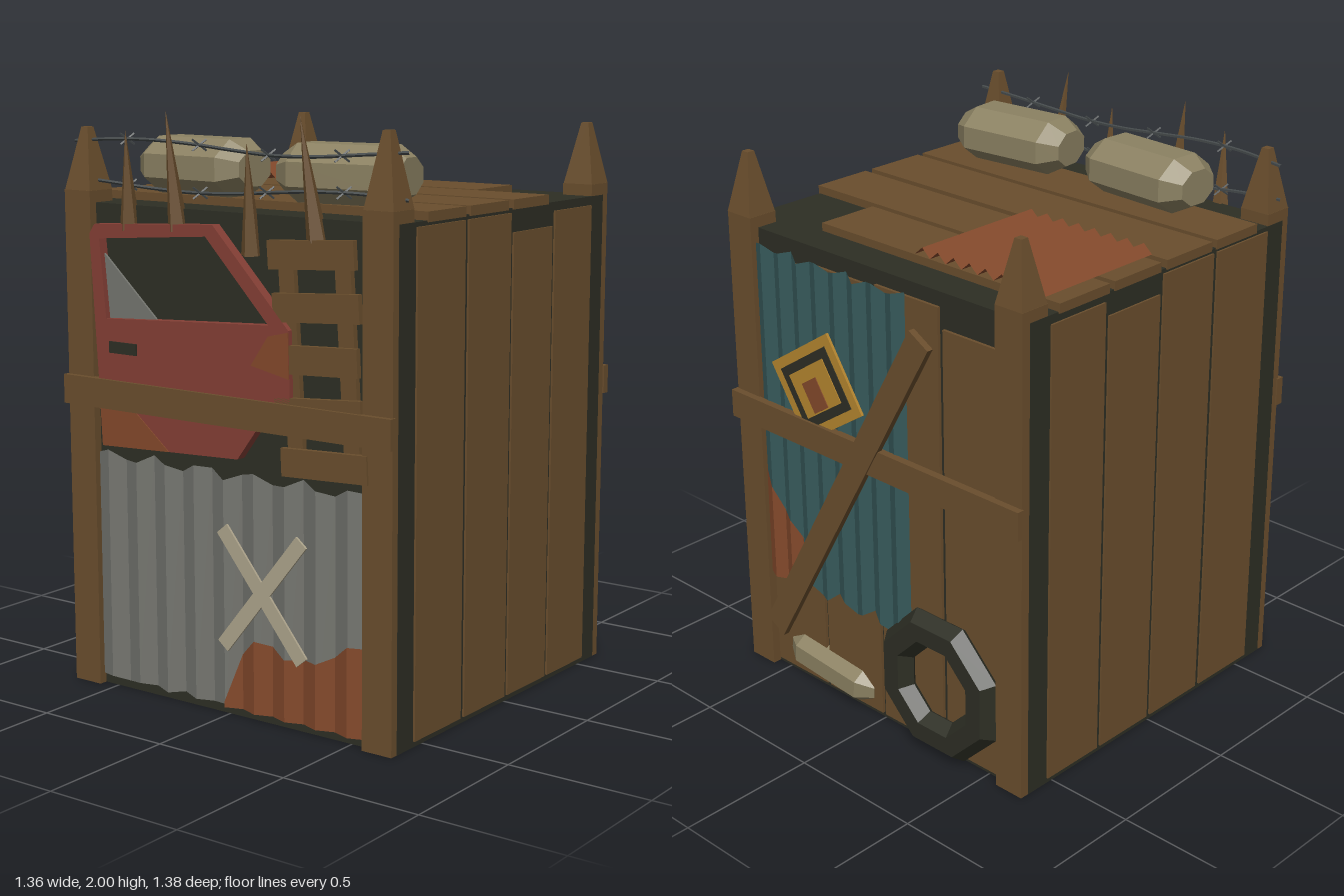
import * as THREE from 'three';

const mat = (name, color, side = THREE.FrontSide) =>
  Object.assign(new THREE.MeshStandardMaterial({ color, side }), { name });

export function createModel() {
  const D = THREE.DoubleSide;
  const wood = mat('wood', 0x6a4e2d), dark = mat('darkCore', 0x2d2e24), red = mat('doorRed', 0x843f35),
    grey = mat('sheetGrey', 0x74756f, D), rust = mat('rust', 0x84492b, D), tan = mat('sandbagTan', 0x8b8162),
    cream = mat('paintCream', 0xada48b), teal = mat('sheetTeal', 0x36595a, D),
    yellow = mat('signYellow', 0xb5862f), wire = mat('wire', 0x44494a);
  const model = new THREE.Group();
  const group = (name, parent = model) => {
    const g = new THREE.Group();
    g.name = name;
    parent.add(g);
    return g;
  };

  // Faceted mesh
  const add = (parent, name, geo, material, x = 0, y = 0, z = 0, rz = 0) => {
    const g = geo.index ? geo.toNonIndexed() : geo;
    g.computeVertexNormals();
    const m = new THREE.Mesh(g, material);
    m.name = name;
    m.position.set(x, y, z);
    m.rotation.z = rz;
    parent.add(m);
    return m;
  };
  const box = (p, name, m, [x, y, z], [w, h, d], rz = 0) =>
    add(p, name, new THREE.BoxGeometry(w, h, d), m, x, y, z, rz);
  // Box given by its limits
  const slab = (p, name, m, x0, x1, y0, y1, z0, z1) =>
    box(p, name, m, [(x0 + x1) / 2, (y0 + y1) / 2, (z0 + z1) / 2], [x1 - x0, y1 - y0, z1 - z0]);
  const shape = pts => new THREE.Shape(pts.map(p => new THREE.Vector2(...p)));
  const plate = (p, name, m, pts, z, depth, hole) => {
    const s = shape(pts);
    if (hole) s.holes.push(shape(hole));
    return add(p, name, new THREE.ExtrudeGeometry(s, { depth, bevelEnabled: false }), m, 0, 0, z);
  };

  // Zigzag sheet: column i lies at x0 + i * step, from bottom(i) to top(i)
  const sheet = (p, name, m, x0, step, i0, i1, bottom, top, amp, z) => {
    const pos = [], idx = [];
    for (let i = i0; i <= i1; i++) {
      const x = x0 + i * step, w = i % 2 ? amp : 0;
      pos.push(x, bottom(i), w, x, top(i), w);
      const k = (i - i0) * 2;
      if (i < i1) idx.push(k, k + 2, k + 3, k, k + 3, k + 1);
    }
    const g = new THREE.BufferGeometry();
    g.setAttribute('position', new THREE.Float32BufferAttribute(pos, 3));
    g.setIndex(idx);
    return add(p, name, g, m, 0, 0, z);
  };

  // Sandbag: octagonal sections, narrowed at both ends
  const sandbag = (p, x, y, z, ry, rz, sx = 1, sy = 1, sz = 1) => {
    const g = new THREE.CylinderGeometry(1, 1, 1, 8, 3, false, Math.PI / 8), v = g.attributes.position;
    for (let i = 0; i < v.count; i++) {
      const t = Math.round((v.getY(i) + 0.5) * 3), r = Math.hypot(v.getX(i), v.getZ(i));
      const k = r < 0.1 ? 0 : (t % 3 === 0 ? 0.62 : 1);
      v.setXYZ(i, v.getX(i) / 0.924 * 0.095 * k, [-0.225, -0.16, 0.16, 0.225][t], v.getZ(i) / 0.924 * 0.125 * k);
    }
    g.rotateZ(Math.PI / 2).scale(sx, sy, sz);
    add(p, 'sandbag', g, tan, x, y, z).rotation.set(0, ry, rz);
  };

  // Hollow dark crate, open below
  const core = group('crateCore');
  for (const s of [-1, 1]) box(core, 'sideWall', dark, [s * 0.665, 0.84, 0.0125], [0.02, 1.68, 1.255]);
  slab(core, 'frontWall', dark, -0.66, 0.66, 0, 1.68, 0.62, 0.64);
  slab(core, 'backWall', dark, -0.66, 0.66, 0, 1.68, -0.615, -0.595);
  slab(core, 'roof', dark, -0.66, 0.66, 1.66, 1.68, -0.6, 0.63);

  // Corner posts with cut tips
  const posts = group('cornerPosts');
  for (const [x, z, top] of [[-0.617, 0.613, 1.93], [0.617, 0.613, 1.96], [-0.617, -0.594, 1.93], [0.617, -0.594, 1.93]]) {
    slab(posts, 'post', wood, x - 0.057, x + 0.057, 0, 1.72, z - 0.054, z + 0.057);
    const tip = new THREE.CylinderGeometry(0.02, 0.079, top - 1.72, 4, 1, false, Math.PI / 4);
    add(posts, 'postTip', tip, wood, x, (top + 1.72) / 2, z);
  }

  // Side planks on both sides
  const sides = group('sidePlanks');
  for (const s of [-1, 1])
    for (const [z0, z1, top] of [[0.28, 0.55, 1.665], [0.005, 0.26, 1.665], [-0.26, -0.012, 1.6], [-0.525, -0.277, 1.65]])
      box(sides, 'sidePlank', wood, [s * 0.677, (top + 0.02) / 2, (z0 + z1) / 2], [0.01, top - 0.02, z1 - z0]);

  // Roof planks, rusty roof sheet and sandbags
  const roof = group('roofCover');
  for (const [x0, x1, z0, z1] of [[-0.68, 0.68, 0.275, 0.49], [-0.68, 0.68, 0.02, 0.25],
    [-0.68, 0.68, -0.235, -0.01], [-0.68, 0.38, -0.49, -0.26]])
    slab(roof, 'roofPlank', wood, x0, x1, 1.675, 1.708, z0, z1);
  const roofSheet = sheet(roof, 'roofSheet', rust, -0.64, 0.0344, 0, 16, () => 0.01, () => 0.52, 0.03, 0);
  roofSheet.rotation.x = -Math.PI / 2;
  roofSheet.position.y = 1.725;
  sandbag(roof, -0.255, 1.805, 0.435, -0.06, 0);
  sandbag(roof, 0.34, 1.805, 0.435, 0.1, 0);

  // Lower front sheet, its rust and the painted cross
  const front = group('frontWallCover');
  const step = 1.13 / 18;
  sheet(front, 'greySheet', grey, -0.565, step, 0, 18, i => 0.035 + 0.006 * Math.sin(i * 2.3),
    i => 0.825 + 0.02 * Math.sin(i * 1.9), 0.022, 0.646);
  const rustTop = [0.05, 0.22, 0.28, 0.27, 0.24, 0.25, 0.25, 0.28, 0.33, 0.33];
  sheet(front, 'sheetRust', rust, -0.565, step, 9, 18, () => 0.03, i => rustTop[i - 9], 0.022, 0.65);
  for (const s of [-1, 1]) box(front, 'crossStroke', cream, [0.165, 0.447, 0.676], [0.515, 0.052, 0.008], s * 0.888);

  // Salvaged car door
  const door = group('carDoor', front);
  plate(door, 'doorPanel', red, [[-0.515, 0.86], [0.07, 0.885], [0.145, 0.985], [0.285, 1.08], [0.28, 1.325],
    [-0.025, 1.64], [-0.535, 1.612], [-0.558, 1.58]], 0.642, 0.036,
  [[-0.49, 1.297], [0.2, 1.335], [-0.055, 1.6], [-0.515, 1.565]]);
  plate(door, 'brokenGlass', grey, [[-0.49, 1.29], [-0.28, 1.305], [-0.512, 1.515]], 0.65, 0.008);
  plate(door, 'lowerRust', rust, [[-0.515, 0.86], [-0.22, 0.873], [-0.37, 0.995], [-0.523, 1.02]], 0.677, 0.004);
  plate(door, 'edgeRust', rust, [[0.13, 1.2], [0.282, 1.17], [0.28, 1.32], [0.2, 1.3]], 0.677, 0.004);
  slab(door, 'doorHandle', dark, -0.475, -0.355, 1.183, 1.222, 0.675, 0.684);

  // Slatted pallet
  const pallet = group('pallet', front);
  pallet.position.set(0.385, 1.24, 0);
  pallet.rotation.z = 0.06;
  for (const x of [-0.11, 0.11]) box(pallet, 'palletUpright', wood, [x, 0, 0.65], [0.06, 0.74, 0.02]);
  for (let i = 0; i < 5; i++)
    box(pallet, 'palletSlat', wood, [0.01 * Math.sin(i * 2), 0.33 - i * 0.166, 0.668], [0.335, 0.092, 0.02], 0.03 * Math.sin(i * 3));
  slab(front, 'frontBeam', wood, -0.68, 0.68, 0.99, 1.09, 0.66, 0.69);

  // Leaning spikes along the top front edge
  const spikes = group('spikes');
  for (const [x0, y0, x1, y1] of [[-0.405, 1.6, -0.385, 1.93], [-0.195, 1.61, -0.21, 2], [0.11, 1.55, 0.122, 1.91], [0.37, 1.61, 0.332, 2]]) {
    const a = new THREE.Vector3(x0, y0, 0.645), b = new THREE.Vector3(x1, y1, 0.682), d = b.clone().sub(a);
    const m = add(spikes, 'spike', new THREE.ConeGeometry(0.036, d.length(), 5), wood);
    m.position.copy(a).add(b).multiplyScalar(0.5);
    m.quaternion.setFromUnitVectors(new THREE.Vector3(0, 1, 0), d.normalize());
  }

  // Barbed wire
  const barbed = group('barbedWire');
  [1.88, 1.745].forEach((y, k) => {
    const pts = [];
    for (let i = 0; i <= 8; i++)
      pts.push(new THREE.Vector3(-0.68 + i * 0.17, y + 0.016 * Math.sin(i * 0.9 + k * 2), 0.605 + 0.012 * Math.sin(i * 1.3 + k)));
    const curve = new THREE.CatmullRomCurve3(pts);
    add(barbed, 'wireStrand', new THREE.TubeGeometry(curve, 32, 0.006, 5), wire);
    for (let i = 0; i < 4; i++) {
      const p = curve.getPoint(0.18 + i * 0.215);
      for (const s of [-1, 1])
        add(barbed, 'barb', new THREE.CylinderGeometry(0.004, 0.004, 0.06, 4), wire, p.x, p.y, p.z).rotation.set(s * 0.8, 0, 0.5 * s);
    }
  });

  // Back wall, built facing +z and turned round
  const back = group('backWallCover');
  back.rotation.y = Math.PI;
  for (const [x0, x1, top] of [[-0.55, -0.29, 1.6], [-0.275, -0.005, 1.62], [0.01, 0.295, 1.63], [0.315, 0.54, 1.56]])
    slab(back, 'backPlank', wood, x0, x1, 0.02, top, 0.61, 0.626);
  sheet(back, 'tealSheet', teal, -0.56, 0.0445, 0, 16, i => 0.4 + 0.025 * Math.sin(i * 1.7),
    i => 1.63 + 0.015 * Math.sin(i * 2.1), 0.02, 0.629);
  const backRust = [0.8, 0.74, 0.66, 0.64, 0.58, 0.45];
  sheet(back, 'tealSheetRust', rust, -0.56, 0.0445, 0, 5, () => 0.38, i => backRust[i], 0.02, 0.632);
  slab(back, 'backBeam', wood, -0.68, 0.68, 0.97, 1.07, 0.645, 0.673);
  box(back, 'brace', wood, [-0.12, 0.86, 0.667], [1.53, 0.095, 0.024], 1.05);

  // Tilted warning sign made of stacked plates
  const sign = group('sign', back);
  sign.position.set(-0.25, 1.2, 0.655);
  sign.rotation.z = 0.58;
  box(sign, 'signBoard', yellow, [0, 0, 0], [0.335, 0.295, 0.01]);
  box(sign, 'signBorder', dark, [0, 0, 0.005], [0.265, 0.225, 0.006]);
  box(sign, 'signField', yellow, [0, 0, 0.008], [0.2, 0.16, 0.006]);
  box(sign, 'signPatch', rust, [-0.01, -0.02, 0.011], [0.08, 0.11, 0.006]);

  // Old tyre and a sandbag at the foot
  const tyre = new THREE.TorusGeometry(0.208, 0.07, 6, 8);
  tyre.scale(1, 1, 0.75).rotateZ(Math.PI / 8);
  add(back, 'tyre', tyre, dark, 0.3, 0.275, 0.642);
  sandbag(back, -0.26, 0.1, 0.565, 0, -0.08, 0.95, 0.8, 0.82);

  return model;
}
